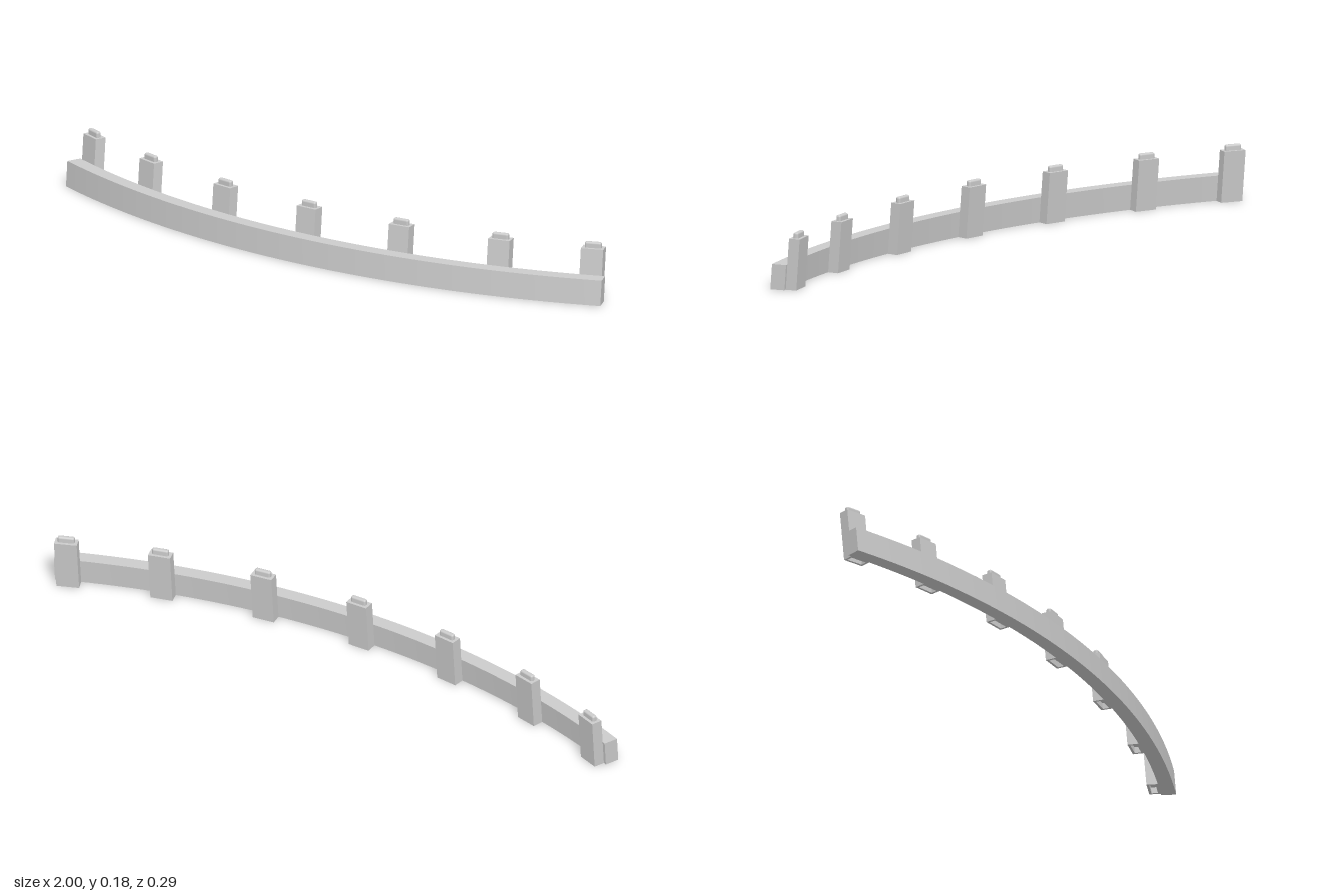
import * as THREE from 'three';
import { toCreasedNormals } from 'three/addons/utils/BufferGeometryUtils.js';
import { RoundedBoxGeometry } from 'three/addons/geometries/RoundedBoxGeometry.js';

const R_OUT = 2.6, R_IN = 2.554;     // front and back radius of the bar
const CENTRE_Z = 0.143 - R_OUT;      // centre of the arc
const BAR_H = 0.079, PEG_H = 0.16;
const PEG_W = 0.07, PEG_D = 0.035;
const NUB_W = 0.052, NUB_D = 0.016;
const LEAN = 0.09;                   // backward lean per unit of height

const material = new THREE.MeshStandardMaterial({ color: 0xcccccc });
const lean = new THREE.Matrix4().set(
  1, 0, 0, 0,
  0, 1, 0, 0,
  0, -LEAN, 1, 0,
  0, 0, 0, 1);

function addMesh(parent, geometry, name) {
  const mesh = new THREE.Mesh(geometry, material);
  mesh.name = name;
  parent.add(mesh);
}

function extrudeUp(shape, height, curveSegments = 12) {
  return new THREE.ExtrudeGeometry(shape, { depth: height, bevelEnabled: false, curveSegments })
    .rotateX(-Math.PI / 2);
}

function rectangle(target, w, d) {
  return target.moveTo(-w / 2, -d / 2).lineTo(w / 2, -d / 2)
    .lineTo(w / 2, d / 2).lineTo(-w / 2, d / 2).closePath();
}

export function createModel() {
  const model = new THREE.Group();
  model.name = 'curvedPegRail';

  // Curved bar with radial ends, leaning back
  const half = Math.asin(1 / R_OUT), mid = -Math.PI / 2;
  const arc = new THREE.Shape();
  arc.absarc(0, -CENTRE_Z, R_OUT, mid - half, mid + half, false);
  arc.absarc(0, -CENTRE_Z, R_IN, mid + half, mid - half, true);
  arc.closePath();
  const bar = extrudeUp(arc, BAR_H, 48).applyMatrix4(lean);
  addMesh(model, toCreasedNormals(bar, 0.5), 'curvedBar');

  // Pegs along the back of the bar
  const pegRadius = R_IN - PEG_D / 2;
  for (const angle of [-0.377, -0.261, -0.13, 0, 0.13, 0.261, 0.377]) {
    const peg = new THREE.Group();
    peg.name = 'peg';
    model.add(peg);

    const x = pegRadius * Math.sin(angle);
    const z = CENTRE_Z + pegRadius * Math.cos(angle);
    const place = (g) => g.rotateY(angle).translate(x, 0, z);

    // Foot with a shallow socket that takes a nub
    const foot = rectangle(new THREE.Shape(), PEG_W, PEG_D);
    foot.holes.push(rectangle(new THREE.Path(), NUB_W + 0.004, NUB_D + 0.004));
    const socketDepth = 0.02;
    addMesh(peg, place(extrudeUp(foot, socketDepth)).applyMatrix4(lean), 'socketFoot');

    // Post
    const postH = PEG_H - socketDepth;
    const post = new THREE.BoxGeometry(PEG_W, postH, PEG_D)
      .translate(0, socketDepth + postH / 2, 0);
    addMesh(peg, place(post).applyMatrix4(lean), 'post');

    // Rounded nub, upright on the leaning post
    const nub = new RoundedBoxGeometry(NUB_W, 0.036, NUB_D, 3, 0.006)
      .translate(0, PEG_H, 0);
    addMesh(peg, place(nub).translate(0, 0, -LEAN * PEG_H), 'nub');
  }
  return model;
}
